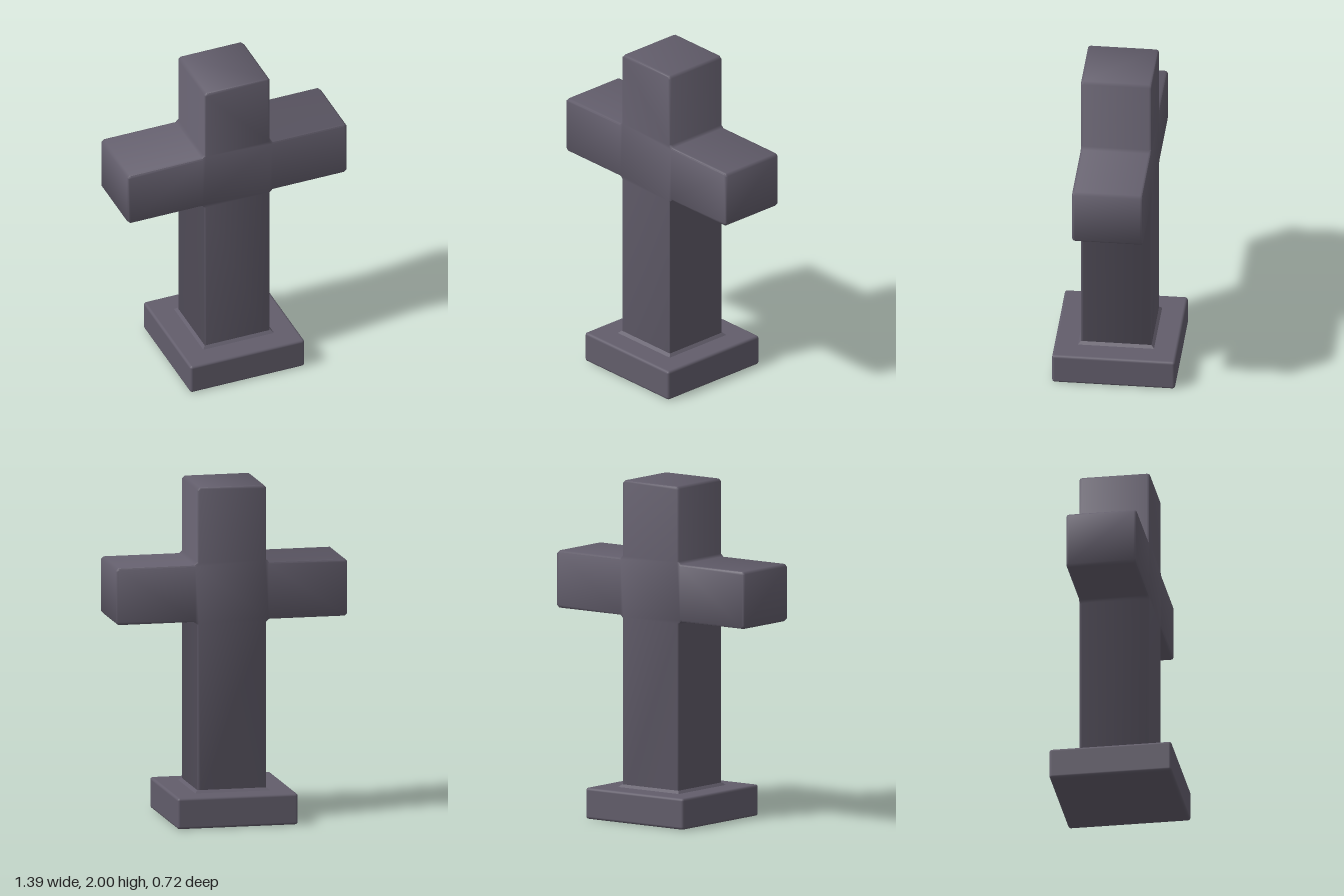
import * as THREE from 'three';
import { toCreasedNormals } from 'three/addons/utils/BufferGeometryUtils.js';
import { RoundedBoxGeometry } from 'three/addons/geometries/RoundedBoxGeometry.js';

const SHAFT = 0.208, ARM = 0.695, ARM_LOW = 1.2, ARM_HIGH = 1.54;
const BASE_TOP = 0.185, BASE_WIDTH = 0.724, TOP = 2, BEVEL = 0.016;

// Cut each corner of an outline at 45 degrees
function chamferedShape(corners, cut) {
  const points = [];
  corners.forEach((corner, i) => {
    const before = corners[(i + corners.length - 1) % corners.length];
    const after = corners[(i + 1) % corners.length];
    for (const other of [before, after]) {
      const step = other.clone().sub(corner).setLength(cut);
      points.push(corner.clone().add(step));
    }
  });
  return new THREE.Shape(points);
}

export function createModel() {
  const model = new THREE.Group();
  model.name = 'stoneCross';
  const stone = new THREE.MeshStandardMaterial({ color: 0x625d6b });
  stone.name = 'dark stone';

  const add = (name, geometry, y = 0) => {
    const mesh = new THREE.Mesh(geometry, stone);
    mesh.name = name;
    mesh.position.y = y;
    model.add(mesh);
  };

  // Upright and arms in one bevelled piece
  const rightSide = [
    [SHAFT, BASE_TOP - 0.04], [SHAFT, ARM_LOW], [ARM, ARM_LOW],
    [ARM, ARM_HIGH], [SHAFT, ARM_HIGH], [SHAFT, TOP],
  ].map(([x, y]) => new THREE.Vector2(x, y));
  const leftSide = rightSide.map((p) => new THREE.Vector2(-p.x, p.y)).reverse();
  const cross = new THREE.ExtrudeGeometry(chamferedShape([...rightSide, ...leftSide], BEVEL), {
    depth: 2 * (SHAFT - BEVEL),
    bevelThickness: BEVEL,
    bevelSize: BEVEL * 0.6,
    bevelOffset: -BEVEL * 0.6,
    bevelSegments: 2,
  });
  cross.translate(0, 0, BEVEL - SHAFT);
  add('cross', toCreasedNormals(cross, 0.9));

  // Small flare where the upright meets the base
  const flare = new THREE.CylinderGeometry(
    SHAFT * Math.SQRT2, (SHAFT + BEVEL) * Math.SQRT2, BEVEL, 4, 1, true);
  flare.rotateY(Math.PI / 4);
  add('footFlare', toCreasedNormals(flare, 0.5), BASE_TOP + BEVEL / 2);

  // Square plinth
  add('base', new RoundedBoxGeometry(BASE_WIDTH, BASE_TOP, BASE_WIDTH, 2, BEVEL), BASE_TOP / 2);

  return model;
}
